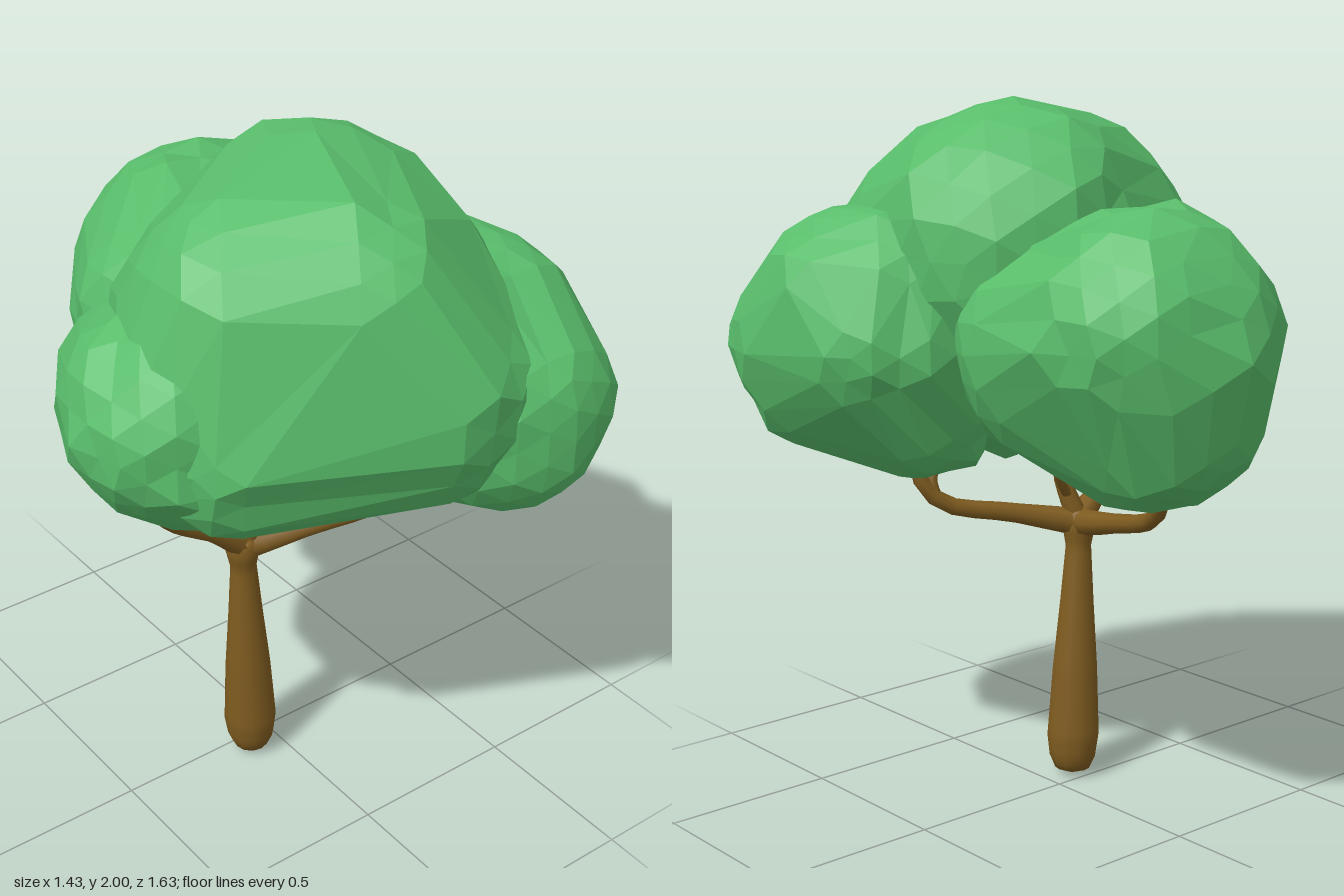
import * as THREE from 'three';
import { mergeVertices } from 'three/addons/utils/BufferGeometryUtils.js';

const leaf = new THREE.MeshStandardMaterial({ color: 0x59bd6b });
leaf.name = 'leafGreen';
const bark = new THREE.MeshStandardMaterial({ color: 0x7f5c20 });
bark.name = 'barkBrown';

// Share corners between faces so a shape can be moved or shaded as one skin
function weld(geometry) {
  geometry.deleteAttribute('uv');
  geometry.deleteAttribute('normal');
  return mergeVertices(geometry, 1e-4);
}

// Faceted crown: a ball stretched over several [x, y, z, radius] spheres, with slight dents
function crown(name, spheres, seed) {
  let g = weld(new THREE.IcosahedronGeometry(1, 3));
  const p = g.attributes.position;
  const d = new THREE.Vector3();
  for (let i = 0; i < p.count; i++) {
    d.fromBufferAttribute(p, i).normalize();
    let best = -Infinity, s;
    for (const c of spheres) {
      const reach = c[0] * d.x + c[1] * d.y + c[2] * d.z + c[3];
      if (reach > best) { best = reach; s = c; }
    }
    const dent = 0.012 * Math.sin(9 * d.x + 5 * d.y + seed) * Math.sin(8 * d.z - 6 * d.y + 2 * seed)
      + 0.01 * Math.sin(i * 12.9898 + seed * 7.3);
    const r = s[3] + 0.004 + dent;
    p.setXYZ(i, s[0] + d.x * r, s[1] + d.y * r, s[2] + d.z * r);
  }
  g = g.toNonIndexed();
  g.computeVertexNormals();
  const mesh = new THREE.Mesh(g, leaf);
  mesh.name = name;
  return mesh;
}

// Smooth tapered limb along a curve; profile holds [fraction, radius] pairs
function limb(name, points, profile, segments = 10, sides = 8) {
  const path = new THREE.CatmullRomCurve3(points.map(q => new THREE.Vector3(...q)));
  let g = new THREE.TubeGeometry(path, segments, 1, sides, false);
  const p = g.attributes.position;
  const v = new THREE.Vector3();
  for (let i = 0; i <= segments; i++) {
    const t = i / segments;
    const k = Math.max(1, profile.findIndex(q => q[0] >= t - 1e-6));
    const [t0, r0] = profile[k - 1], [t1, r1] = profile[k];
    const r = THREE.MathUtils.mapLinear(t, t0, t1, r0, r1);
    const c = path.getPointAt(t);
    for (let j = 0; j <= sides; j++) {
      const n = i * (sides + 1) + j;
      v.fromBufferAttribute(p, n).sub(c).multiplyScalar(r).add(c);
      p.setXYZ(n, v.x, v.y, v.z);
    }
  }
  g = weld(g);
  g.computeVertexNormals();
  const mesh = new THREE.Mesh(g, bark);
  mesh.name = name;
  return mesh;
}

export function createModel() {
  const tree = new THREE.Group();
  tree.name = 'tree';

  // Trunk with a rounded foot and a flared top
  tree.add(limb('trunk', [[-0.09, 0, 0.045], [-0.108, 0.4, 0.05], [-0.128, 0.82, 0.056]],
    [[0, 0], [0.025, 0.052], [0.075, 0.07], [0.15, 0.078], [0.4, 0.067], [0.65, 0.05],
      [0.85, 0.038], [0.925, 0.05], [0.975, 0.042], [1, 0]], 40, 12));

  // Main limbs and their forks
  const thick = [[0, 0.042], [0.3, 0.029], [0.8, 0.022], [1, 0.015]];
  const thin = [[0, 0.016], [1, 0.012]];
  const limbs = [
    ['leftLimb', [[-0.13, 0.765, 0.055], [0.06, 0.81, 0.14], [0.25, 0.855, 0.22], [0.305, 0.93, 0.255], [0.31, 1.05, 0.28]], thick],
    ['leftFork', [[0.26, 0.86, 0.225], [0.27, 0.92, 0.24], [0.22, 1.03, 0.25]], thin],
    ['backLimb', [[-0.125, 0.765, 0.06], [-0.1, 0.8, -0.12], [-0.05, 0.86, -0.33], [-0.02, 0.94, -0.4], [0.01, 1.05, -0.43]], thick],
    ['backFork', [[-0.05, 0.86, -0.33], [-0.1, 0.96, -0.37], [-0.16, 1.08, -0.36]], thin],
    ['rightLimb', [[-0.12, 0.77, 0.055], [-0.22, 0.85, 0.07], [-0.38, 0.96, 0.09], [-0.5, 1.1, 0.13]],
      [[0, 0.042], [0.3, 0.024], [0.8, 0.018], [1, 0.014]]],
    ['rightFork', [[-0.4, 0.97, 0.09], [-0.4, 1.03, 0.07], [-0.38, 1.14, 0.04]], thin],
    ['middleLimb', [[-0.125, 0.77, 0.055], [-0.1, 0.84, 0.07], [-0.085, 0.92, 0.09], [-0.17, 1.08, 0.13]],
      [[0, 0.034], [0.4, 0.024], [1, 0.014]]],
    ['middleFork', [[-0.1, 0.84, 0.07], [-0.03, 0.93, 0.04], [0.0, 1.06, 0.0]], thin],
  ];
  for (const [name, points, profile] of limbs) tree.add(limb(name, points, profile));

  // Four overlapping masses of foliage
  tree.add(crown('mainCrown', [
    [0.08, 1.58, 0.1, 0.41], [0.14, 1.4, 0.42, 0.35], [0, 1.63, 0.34, 0.32],
    [-0.27, 1.43, 0.2, 0.31], [-0.17, 1.58, 0.18, 0.36], [0.05, 1.31, 0.18, 0.33],
    [0.17, 1.58, 0.28, 0.31], [-0.28, 1.33, 0.25, 0.29], [-0.2, 1.29, 0.2, 0.29]], 1));
  tree.add(crown('backCrown', [
    [0.09, 1.37, -0.43, 0.37], [-0.03, 1.36, -0.3, 0.34], [0.15, 1.35, -0.25, 0.32],
    [0.08, 1.25, -0.46, 0.31], [0.16, 1.4, -0.46, 0.32]], 2));
  tree.add(crown('leftCrown', [
    [0.4, 1.42, 0.37, 0.29], [0.4, 1.33, 0.25, 0.28], [0.39, 1.3, 0.5, 0.31],
    [0.3, 1.2, 0.25, 0.26], [0.36, 1.44, 0.25, 0.27]], 3));
  tree.add(crown('rightCrown', [
    [-0.4, 1.36, 0.13, 0.3], [-0.35, 1.33, 0.05, 0.31], [-0.34, 1.31, 0.15, 0.29]], 4));

  return tree;
}
